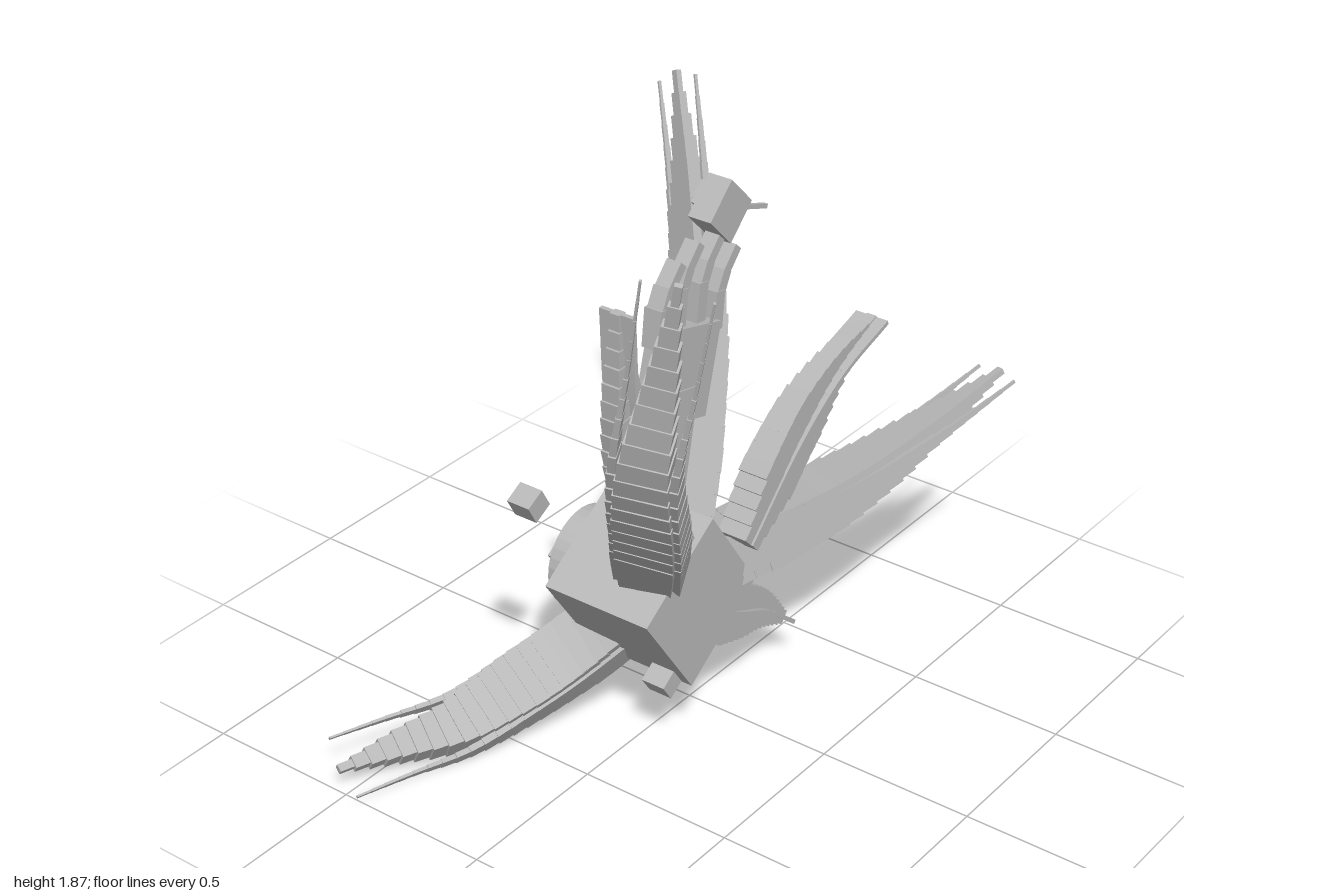
import * as THREE from 'three';

const V = (x, y, z) => new THREE.Vector3(x, y, z);
const grey = new THREE.MeshStandardMaterial({ color: 0xb8b8b8 });
grey.name = 'matte grey';
const unitBox = new THREE.BoxGeometry(1, 1, 1);

// Axis-aligned box, turned about z
function block(parent, name, pos, size, angle = 0) {
  const m = new THREE.Mesh(unitBox, grey);
  m.name = name;
  m.position.set(...pos);
  m.scale.set(...size);
  m.rotation.z = angle;
  parent.add(m);
}

// Box running from a to b in the xy plane at depth z
function bar(parent, name, a, b, width, depth, z) {
  const dx = b[0] - a[0], dy = b[1] - a[1];
  block(parent, name, [(a[0] + b[0]) / 2, (a[1] + b[1]) / 2, z],
    [width, Math.hypot(dx, dy), depth], Math.atan2(-dx, dy));
}

// Linear lookup in an evenly spaced list
function pick(list, t) {
  const s = t * (list.length - 1), i = Math.min(Math.floor(s), list.length - 2);
  return THREE.MathUtils.lerp(list[i], list[i + 1], s - i);
}

// Row of stepped slabs along a path; side gives the lateral axis
function slabs(parent, name, pathAt, side, count, wide, thick) {
  for (let i = 0; i < count; i++) {
    const a = pathAt(i / count), b = pathAt((i + 1) / count);
    const dir = b.clone().sub(a), len = dir.length();
    const T = dir.normalize();
    const U = side.clone().addScaledVector(T, -side.dot(T)).normalize();
    const N = U.clone().cross(T);
    const t = (i + 0.5) / count;
    const m = new THREE.Mesh(unitBox, grey);
    m.name = name;
    m.quaternion.setFromRotationMatrix(new THREE.Matrix4().makeBasis(U, T, N));
    m.position.copy(a).add(b).multiplyScalar(0.5);
    m.scale.set(pick(wide, t), len * 1.15, pick(thick, t));
    parent.add(m);
  }
}

// Large curved frond: a broad tapering body with thin side rows that end as whiskers
function frond(parent, name, points, spread, girth = 1) {
  const g = new THREE.Group();
  g.name = name;
  parent.add(g);
  const curve = new THREE.CatmullRomCurve3(points);
  const scaled = list => list.map(v => v * girth);
  slabs(g, 'bodySlab', t => curve.getPointAt(t), spread, 22,
    scaled([0.15, 0.17, 0.17, 0.135, 0.08, 0.015]), scaled([0.14, 0.15, 0.125, 0.09, 0.05, 0.012]));
  for (const s of [-1, 1]) {
    const path = t => curve.getPointAt(t * 0.985).addScaledVector(spread, s * (0.75 + 0.22 * t));
    slabs(g, 'sideSlab', path, spread, 22,
      [0.05, 0.05, 0.04, 0.02, 0.01, 0.006], [0.1, 0.115, 0.095, 0.055, 0.022, 0.008]);
  }
}

// Small leaf: stepped slabs around a thin deep midrib
function leaf(parent, name, points, z, widths) {
  const g = new THREE.Group();
  g.name = name;
  parent.add(g);
  const curve = new THREE.CatmullRomCurve3(points.map(p => V(p[0], p[1], z)));
  const at = t => curve.getPointAt(t);
  const across = V(0, 0, 1);
  slabs(g, 'midrib', at, across, 18, [0.115, 0.115], [0.014, 0.014]);
  slabs(g, 'leafSlab', at, across, 18, [0.1, 0.1, 0.085, 0.06, 0.03], widths);
}

export function createModel() {
  const model = new THREE.Group();
  model.name = 'sculpture';
  const tilt = 0.595, cx = -0.16, cy = 0.5;

  // Core block
  block(model, 'core', [cx, cy, -0.02], [0.38, 0.38, 0.372], tilt);

  // Round socket on the back
  const ring = new THREE.Shape();
  ring.absarc(0, 0, 0.16, 0, Math.PI * 2);
  const hole = new THREE.Path();
  hole.absarc(0, 0, 0.125, 0, Math.PI * 2, true);
  ring.holes.push(hole);
  const socket = new THREE.Mesh(new THREE.ExtrudeGeometry(ring,
    { depth: 0.08, bevelEnabled: false, curveSegments: 16 }), grey);
  socket.name = 'socketRing';
  socket.position.set(cx, cy, -0.282);
  model.add(socket);
  block(model, 'socketBlock', [cx, cy, -0.27], [0.13, 0.13, 0.14], tilt);
  block(model, 'socketKnob', [cx, cy, -0.345], [0.05, 0.05, 0.035], tilt);

  // Loose small blocks
  block(model, 'looseBlock', [-0.435, 0.825, -0.25], [0.07, 0.07, 0.08], 0.5);
  block(model, 'looseBlock', [0.255, 0.55, -0.25], [0.06, 0.06, 0.1], 0.5);
  block(model, 'looseBlock', [-0.255, 0.25, 0.09], [0.065, 0.065, 0.08], tilt);

  // Forearm and hand
  const arm = new THREE.Group();
  arm.name = 'arm';
  model.add(arm);
  bar(arm, 'forearm', [-0.195, 0.66], [-0.095, 1.13], 0.19, 0.11, -0.02);
  bar(arm, 'palm', [-0.07, 1.02], [0.005, 1.3], 0.22, 0.1, -0.02);
  bar(arm, 'thumbBase', [-0.28, 1.165], [-0.02, 1.09], 0.07, 0.07, -0.02);
  bar(arm, 'thumbTip', [-0.255, 1.15], [-0.3, 1.3], 0.06, 0.065, -0.02);
  for (const [x, y] of [[-0.145, 1.28], [-0.06, 1.31], [0.035, 1.295], [0.115, 1.235]]) {
    bar(arm, 'fingerBase', [x, y], [x + 0.015, y + 0.12], 0.042, 0.06, -0.015);
    bar(arm, 'fingerMiddle', [x + 0.015, y + 0.1], [x + 0.05, y + 0.17], 0.038, 0.055, -0.015);
    bar(arm, 'fingerTip', [x + 0.045, y + 0.16], [x + 0.105, y + 0.225], 0.034, 0.05, -0.015);
  }

  // Cube above the fingertips, with its rod
  block(model, 'cube', [0.163, 1.595, -0.015], [0.14, 0.14, 0.08], 0.77);
  block(model, 'cubePlate', [0.163, 1.615, -0.065], [0.075, 0.075, 0.03], 0.77);
  block(model, 'cubeKnob', [0.163, 1.615, -0.085], [0.035, 0.035, 0.02], 0.77);
  bar(model, 'rod', [0.2, 1.58], [0.4, 1.51], 0.014, 0.014, -0.025);

  // Four large fronds
  frond(model, 'upperRightFrond', [V(-0.25, 0.6, 0.05), V(-0.46, 0.9, 0.21), V(-0.645, 1.25, 0.34),
    V(-0.685, 1.55, 0.425), V(-0.725, 1.87, 0.51)], V(0.045, -0.025, 0.085));
  frond(model, 'upperLeftFrond', [V(-0.09, 0.56, 0), V(0.18, 0.89, -0.14), V(0.36, 1.13, -0.245),
    V(0.48, 1.43, -0.365), V(0.6, 1.74, -0.5)], V(0.02, -0.04, -0.085), 1.06);
  frond(model, 'lowerLeftFrond', [V(-0.02, 0.5, 0.02), V(0.28, 0.585, 0.17), V(0.5, 0.66, 0.27),
    V(0.75, 0.765, 0.37), V(0.99, 0.86, 0.45)], V(-0.035, 0.015, 0.085), 1.15);
  frond(model, 'lowerRightFrond', [V(-0.14, 0.38, -0.09), V(-0.27, 0.245, -0.21), V(-0.43, 0.165, -0.295),
    V(-0.62, 0.095, -0.385), V(-0.8, 0.085, -0.465), V(-0.99, 0.085, -0.53)], V(0.03, 0.055, -0.08), 1.12);

  // Three small leaves
  leaf(model, 'upperLeaf', [[-0.22, 0.66], [-0.36, 0.95], [-0.43, 1.22], [-0.45, 1.55]], 0.097,
    [0.14, 0.16, 0.14, 0.09, 0.02]);
  leaf(model, 'sideLeaf', [[0.03, 0.62], [0.27, 0.85], [0.48, 0.99], [0.707, 1.07]], 0.157,
    [0.08, 0.18, 0.18, 0.1, 0.015]);
  leaf(model, 'lowerLeaf', [[-0.12, 0.43], [0.06, 0.34], [0.2, 0.27], [0.335, 0.165]], 0.097,
    [0.16, 0.2, 0.165, 0.1, 0.04]);

  return model;
}
